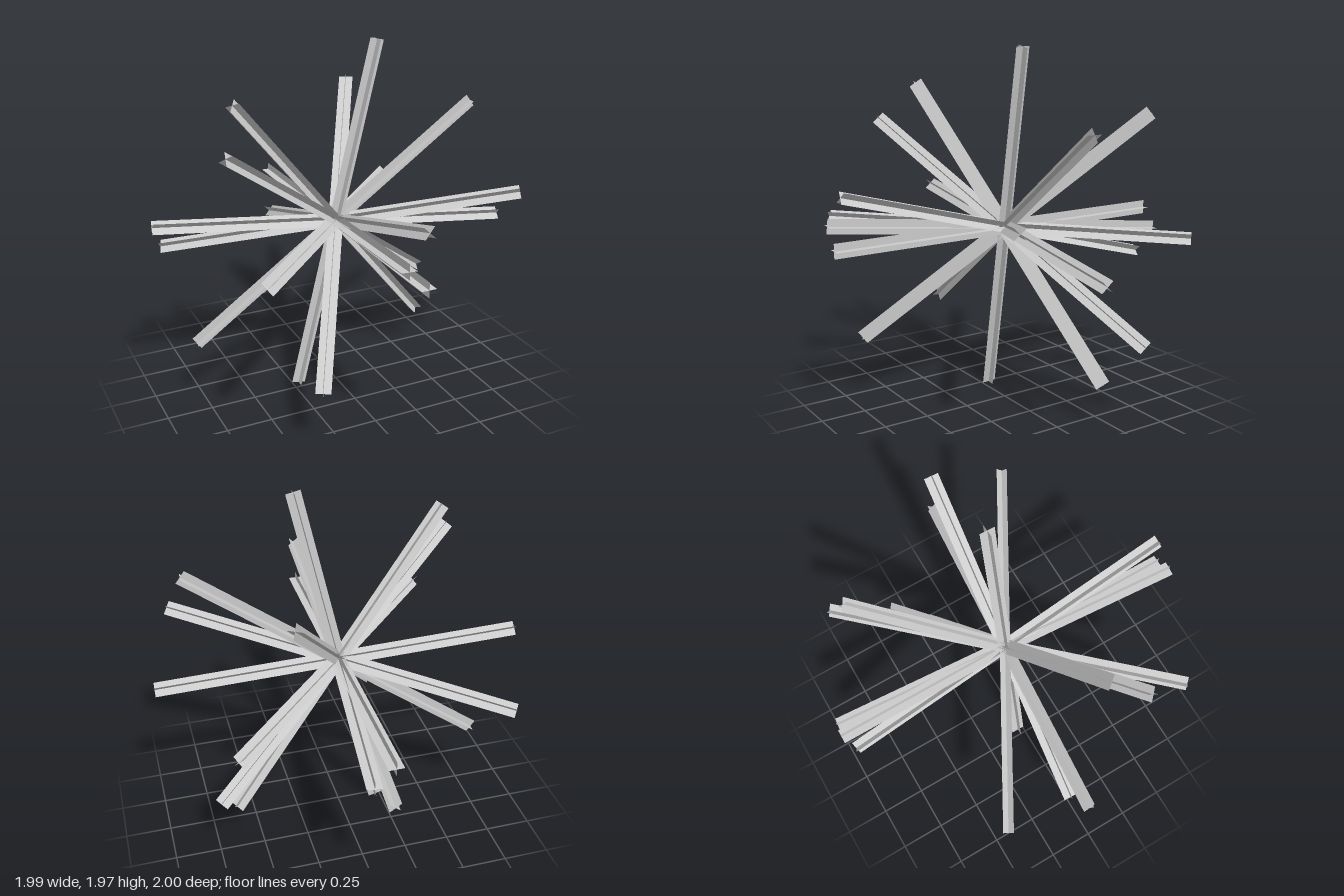
import * as THREE from 'three';

const LENGTH = 2, WIDTH = 0.08, CENTRE_Y = 0.985;

// direction of one end (x, y, z), then roll about the rod in degrees
const RODS = [
  [0, 0, 1, 0],
  [-0.1, 0.105, 0.985, 0],
  [0.015, 0.265, 0.96, 45],
  [0.22, 0.975, 0.035, 9],
  [0.39, 0.615, -0.68, 0],
  [0.8, 0.585, 0.035, 0],
  [0.85, 0.185, 0.48, 45],
  [0.98, -0.085, 0.09, 45],
  [0.69, -0.025, -0.73, 45],
  [0.74, -0.55, -0.38, 55],
  [0.63, -0.745, -0.19, 60],
];

export function createModel() {
  const model = new THREE.Group();
  model.name = 'starburst';
  const material = new THREE.MeshStandardMaterial({ color: 0xcccccc, side: THREE.DoubleSide });

  // flat strip running along z
  const strip = new THREE.PlaneGeometry(WIDTH, LENGTH).rotateX(-Math.PI / 2);
  const up = new THREE.Vector3(0, 1, 0);

  RODS.forEach(([x, y, z, roll], i) => {
    // each ray is two strips crossed at right angles
    const ray = new THREE.Group();
    ray.name = `ray${i + 1}`;
    for (const [name, turn] of [['flatStrip', 0], ['uprightStrip', Math.PI / 2]]) {
      const mesh = new THREE.Mesh(strip, material);
      mesh.name = name;
      mesh.rotation.z = turn;
      ray.add(mesh);
    }
    const d = new THREE.Vector3(x, y, z).normalize();
    const r = new THREE.Vector3().crossVectors(up, d).normalize();
    const u = new THREE.Vector3().crossVectors(d, r);
    ray.quaternion.setFromRotationMatrix(new THREE.Matrix4().makeBasis(r, u, d));
    ray.rotateZ(THREE.MathUtils.degToRad(roll));
    ray.position.y = CENTRE_Y;
    model.add(ray);
  });
  return model;
}
